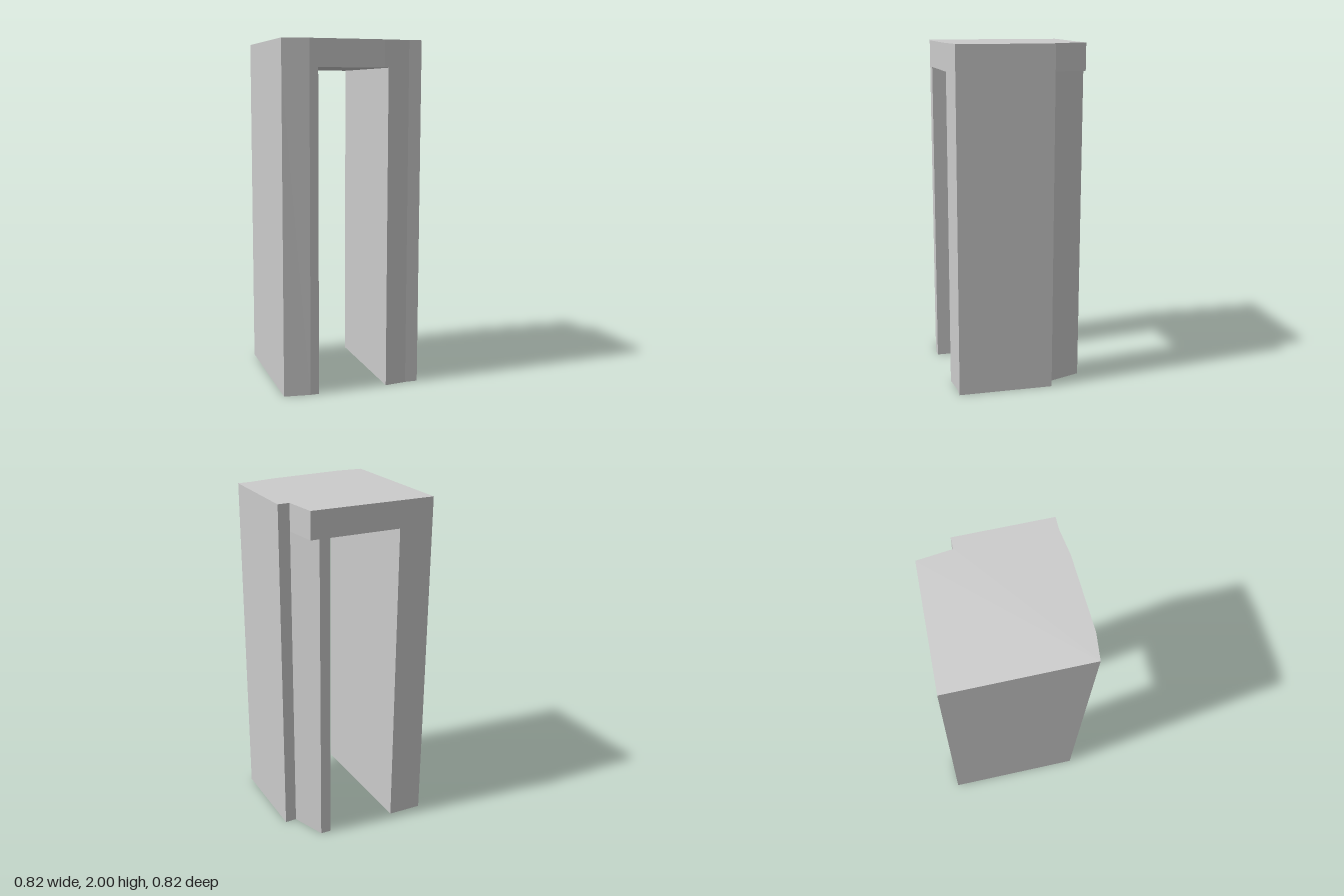
import * as THREE from 'three';

const HEIGHT = 2, GAP_TOP = 1.845;
const material = new THREE.MeshStandardMaterial({ color: 0xcccccc, flatShading: true });

// Upright prism from a footprint of [x, z] corners
function prism(name, footprint, bottom, top) {
  const shape = new THREE.Shape(footprint.map(([x, z]) => new THREE.Vector2(x, -z)));
  const geometry = new THREE.ExtrudeGeometry(shape, { depth: top - bottom, bevelEnabled: false });
  geometry.rotateX(-Math.PI / 2);
  geometry.translate(0, bottom, 0);
  const mesh = new THREE.Mesh(geometry, material);
  mesh.name = name;
  return mesh;
}

export function createModel() {
  const model = new THREE.Group();
  model.name = 'archway';

  // Top slab with a bowed front edge and a notched back corner
  model.add(prism('topSlab', [
    [-0.412, 0.393], [-0.26, 0.41], [0.18, 0.393], [0.335, 0.37], [0.41, 0.37],
    [0.41, -0.183], [0.342, -0.183], [0.318, -0.384], [-0.412, -0.413],
  ], GAP_TOP, HEIGHT));

  // Straight leg on the -x side
  model.add(prism('rightLeg', [
    [-0.412, 0.393], [-0.26, 0.41], [-0.21, 0.408], [-0.21, -0.405], [-0.412, -0.413],
  ], 0, GAP_TOP));

  // Leg on the +x side, stepped and tapering behind the notch
  model.add(prism('leftLeg', [
    [0.205, 0.389], [0.335, 0.37], [0.41, 0.37], [0.41, -0.183],
    [0.342, -0.183], [0.268, -0.386], [0.205, -0.388],
  ], 0, GAP_TOP));

  return model;
}
